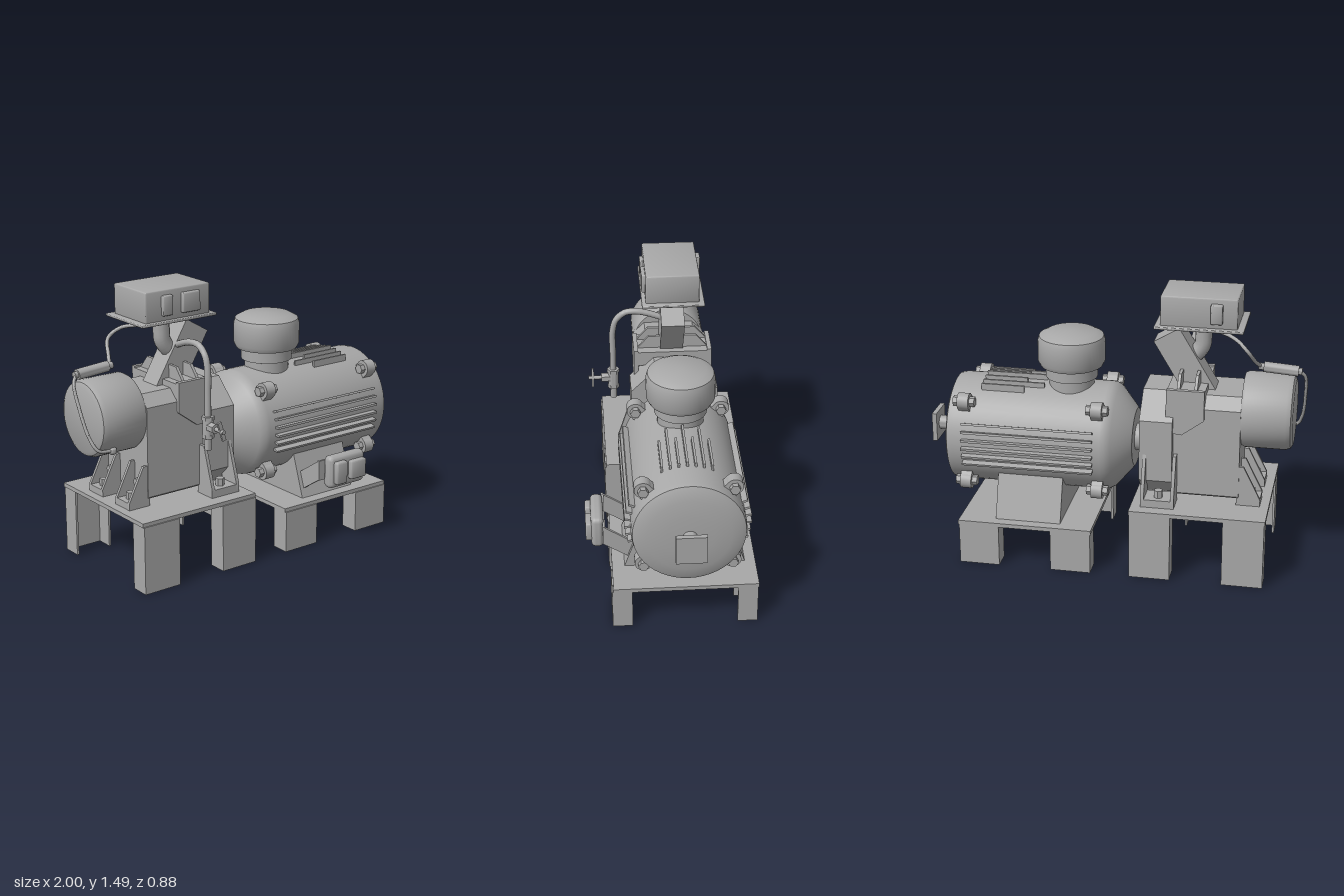
import * as THREE from 'three';
import { toCreasedNormals } from 'three/addons/utils/BufferGeometryUtils.js';
import { RoundedBoxGeometry } from 'three/addons/geometries/RoundedBoxGeometry.js';

const steel = new THREE.MeshStandardMaterial({ color: 0xa8a8a8 });
steel.name = 'machine grey';
const ZC = -0.065; // z of the shaft line
const YC = 0.648; // y of the shaft line

export function createModel() {
  const root = new THREE.Group();
  root.name = 'motorAndGearbox';

  const add = (name, geo, x = 0, y = 0, z = 0, parent = root) => {
    const m = new THREE.Mesh(toCreasedNormals(geo, 0.6), steel);
    m.name = name;
    m.position.set(x, y, z);
    parent.add(m);
    return m;
  };
  // box from min/max limits
  const box = (name, x0, x1, y0, y1, z0, z1) =>
    add(name, new THREE.BoxGeometry(x1 - x0, y1 - y0, z1 - z0), (x0 + x1) / 2, (y0 + y1) / 2, (z0 + z1) / 2);
  // cylinder along an axis, centred
  const cyl = (name, axis, r, len, x, y, z, sides = 24) => {
    const g = new THREE.CylinderGeometry(r, r, len, sides);
    if (axis === 'x') g.rotateZ(-Math.PI / 2);
    if (axis === 'z') g.rotateX(Math.PI / 2);
    return add(name, g, x, y, z);
  };
  // [radius, position] profile turned about x or y
  const lathe = (name, axis, pts, x, y, z) => {
    const g = new THREE.LatheGeometry(pts.map(p => new THREE.Vector2(...p)), 48);
    if (axis === 'x') g.rotateZ(-Math.PI / 2);
    return add(name, g, x, y, z);
  };
  const extrude = (pts, depth) => new THREE.ExtrudeGeometry(
    new THREE.Shape(pts.map(p => new THREE.Vector2(...p))), { depth, bevelEnabled: false });
  const extrudeZ = (name, pts, z0, z1) => add(name, extrude(pts, z1 - z0), 0, 0, z0);
  // [z, y] section pulled along x
  const extrudeX = (name, pts, x0, x1) =>
    add(name, extrude(pts.map(([z, y]) => [-z, y]), x1 - x0).rotateY(Math.PI / 2), x0);
  const tube = (name, pts, r, n = 40) => add(name, new THREE.TubeGeometry(
    new THREE.CatmullRomCurve3(pts.map(p => new THREE.Vector3(...p))), n, r, 12));

  // --- Stands: plate on four channel legs, open to the inside
  const stand = (x0, x1, top) => {
    box('standPlate', x0, x1, top - 0.022, top, -0.435, 0.315);
    const w = 0.215, t = 0.012, h = top - 0.02;
    for (const lx of [x0 + 0.004, x1 - w - 0.004]) {
      for (const [zo, s] of [[0.322, -1], [-0.432, 1]]) {
        const zi = zo + s * 0.104, zw = zo + s * t;
        box('legWeb', lx, lx + w, 0, h, Math.min(zo, zw), Math.max(zo, zw));
        for (const fx of [lx, lx + w - t]) box('legFlange', fx, fx + t, 0, h, Math.min(zo, zi), Math.max(zo, zi));
      }
    }
  };
  stand(0.07, 0.788, 0.247);
  stand(-0.842, -0.13, 0.383);

  // --- Motor
  lathe('motorHousing', 'x', [[0, -0.11], [0.155, -0.11], [0.175, -0.095], [0.27, -0.015], [0.288, 0.015],
    [0.29, 0.04], [0.29, 0.83], [0.284, 0.86], [0.262, 0.87], [0.21, 0.883], [0.12, 0.891], [0, 0.893]], 0, YC, ZC);
  cyl('coupling', 'x', 0.072, 0.1, -0.13, YC, ZC, 32);
  cyl('endShaft', 'x', 0.037, 0.1, 0.93, YC, ZC);
  box('endPlate', 0.975, 1, 0.568, 0.725, ZC - 0.078, ZC + 0.078);

  // cooling fins on both flanks
  for (const s of [1, -1]) {
    for (let i = 0; i < 6; i++) {
      const a = -0.33 + i * 0.145;
      const fin = add('sideFin', new THREE.BoxGeometry(0.7, 0.012, 0.07),
        0.425, YC + 0.285 * Math.sin(a), ZC + s * 0.285 * Math.cos(a));
      fin.rotation.x = -s * a;
    }
  }
  // cooling fins on top
  for (let i = 0; i < 7; i++) {
    const z = ZC + (i - 3) * 0.042;
    box('topFin', i % 2 ? 0.37 : 0.47, 0.7, 0.86, 0.966 - Math.abs(i - 3) * 0.008, z - 0.006, z + 0.006);
  }
  // clamping lugs with hex bolts at four corners of each end
  for (const x of [0.06, 0.77]) {
    for (let k = 0; k < 4; k++) {
      const a = Math.PI / 4 + k * Math.PI / 2;
      const at = r => [YC + r * Math.sin(a), ZC + r * Math.cos(a)];
      const web = add('lugWeb', new THREE.BoxGeometry(0.06, 0.085, 0.09), x, ...at(0.285));
      web.rotation.x = -a;
      cyl('lugEye', 'x', 0.044, 0.06, x, ...at(0.32));
      cyl('lugBolt', 'x', 0.027, 0.115, x, ...at(0.32), 6);
    }
  }
  // domed vent cap
  lathe('ventCap', 'y', [[0.12, 0.86], [0.12, 0.97], [0.137, 0.975], [0.137, 1.035], [0.165, 1.04], [0.178, 1.065],
    [0.178, 1.175], [0.17, 1.2], [0.13, 1.222], [0, 1.225]], 0.24, 0, ZC);
  // pedestal
  extrudeX('motorPedestal', [[0.25, 0.245], [-0.38, 0.245], [-0.3, 0.48], [0.17, 0.48]], 0.245, 0.595);

  // terminal box on two sloping arms
  for (const x of [0.268, 0.56]) {
    extrudeX('terminalArm', [[0.352, 0.485], [0.352, 0.375], [0.23, 0.295], [0.18, 0.37]], x, x + 0.014);
  }
  box('terminalBackPlate', 0.268, 0.574, 0.375, 0.485, 0.345, 0.358);
  add('terminalBox', new RoundedBoxGeometry(0.245, 0.18, 0.065, 3, 0.025), 0.422, 0.422, 0.385);
  add('terminalCover', new RoundedBoxGeometry(0.075, 0.125, 0.06, 2, 0.01), 0.36, 0.422, 0.416);
  add('terminalCover', new RoundedBoxGeometry(0.105, 0.105, 0.06, 2, 0.01), 0.477, 0.422, 0.416);

  // --- Gearbox
  const section = (w, y0, y1, cut, low) => [[-w + low, y0], [w - low, y0], [w, y0 + low], [w, y1 - cut],
    [w - cut, y1], [-w + cut, y1], [-w, y1 - cut], [-w, y0 + low]].map(([z, y]) => [z + ZC, y]);
  extrudeX('gearBody', section(0.195, 0.42, 0.968, 0.06, 0.01), -0.682, -0.335);
  extrudeX('gearHead', section(0.235, 0.405, 0.968, 0.13, 0.1), -0.335, -0.162);
  const drum = lathe('gearDrum', 'x', [[0, -0.945], [0.17, -0.945], [0.19, -0.935], [0.2, -0.91], [0.2, -0.695],
    [0.192, -0.68], [0, -0.68]], 0, 0.853, ZC);
  drum.material = steel;

  // side feet with paired gussets, front and back
  for (const s of [1, -1]) {
    const zo = ZC + s * 0.305, zi = ZC + s * 0.18;
    box('sideFoot', -0.358, -0.183, 0.383, 0.425, Math.min(zi, zo), Math.max(zi, zo));
    for (const x of [-0.358, -0.2]) {
      extrudeX('sideGusset', [[zi, 0.383], [zo, 0.383], [zo, 0.43], [ZC + s * 0.235, 0.65], [zi, 0.65]], x, x + 0.018);
    }
    cyl('footBolt', 'y', 0.024, 0.05, -0.27, 0.44, ZC + s * 0.255, 6);
    // end feet
    const ze = ZC + s * 0.125;
    box('endFoot', -0.795, -0.68, 0.383, 0.42, ze - 0.065, ze + 0.065);
    for (const dz of [-0.065, 0.049]) {
      extrudeZ('endGusset', [[-0.795, 0.383], [-0.67, 0.383], [-0.67, 0.6], [-0.705, 0.6], [-0.795, 0.42]],
        ze + dz, ze + dz + 0.016);
    }
    cyl('endBolt', 'y', 0.022, 0.045, -0.745, 0.435, ze, 6);
    cyl('endWallBolt', 'x', 0.022, 0.045, -0.69, 0.5, ze, 6);
    // saddle cheek plate and triangular ribs beside the chute
    const zc = ZC + s * 0.2;
    extrudeZ('saddleCheek', [[-0.495, 1.01], [-0.297, 1.01], [-0.297, 0.775], [-0.38, 0.765], [-0.495, 0.85]],
      zc - 0.012, zc + 0.012);
    for (const x of [-0.455, -0.365]) {
      extrudeX('saddleRib', [[ZC + s * 0.05, 0.96], [ZC + s * 0.2, 0.96], [ZC + s * 0.19, 1.0],
        [ZC + s * 0.13, 1.07], [ZC + s * 0.05, 1.07]], x, x + 0.016);
    }
  }
  box('saddle', -0.495, -0.297, 0.92, 1.0, ZC - 0.2, ZC + 0.2);

  // leaning chute
  const chute = add('chute', new THREE.BoxGeometry(0.155, 0.4, 0.125), -0.375, 1.08, -0.06);
  chute.rotation.z = -0.54;

  // --- Control box on its bent post
  tube('controlPost', [[-0.457, 1.33, -0.057], [-0.457, 1.25, -0.057], [-0.452, 1.19, -0.057],
    [-0.42, 1.14, -0.057], [-0.37, 1.11, -0.057]], 0.044);
  add('controlFlange', new RoundedBoxGeometry(0.46, 0.016, 0.335, 2, 0.006), -0.45, 1.322, -0.063);
  add('controlBox', new RoundedBoxGeometry(0.396, 0.165, 0.285, 2, 0.008), -0.448, 1.405, -0.06);
  add('controlButton', new RoundedBoxGeometry(0.062, 0.105, 0.04, 2, 0.008), -0.52, 1.408, 0.082);
  add('controlButton', new RoundedBoxGeometry(0.11, 0.105, 0.04, 2, 0.008), -0.375, 1.408, 0.082);
  add('backButton', new RoundedBoxGeometry(0.062, 0.105, 0.05, 2, 0.008), -0.54, 1.408, -0.201);

  // --- Gooseneck pipe and valve
  const px = -0.395, pz = 0.258;
  tube('gooseneck', [[px, 0.8, pz], [px, 0.95, pz], [px, 1.08, pz], [px, 1.155, 0.238], [px, 1.198, 0.19],
    [px, 1.205, 0.14], [px, 1.195, 0.08], [px, 1.16, -0.02]], 0.017, 60);
  cyl('valveBody', 'y', 0.029, 0.1, px, 0.79, pz);
  cyl('valveCollar', 'y', 0.034, 0.02, px, 0.835, pz, 6);
  cyl('valveNut', 'y', 0.032, 0.02, px, 0.738, pz, 6);
  cyl('valveOutlet', 'y', 0.018, 0.08, px, 0.705, pz);
  cyl('valveBonnet', 'z', 0.027, 0.06, px, 0.792, 0.295, 6);
  cyl('valveStem', 'z', 0.011, 0.13, px, 0.792, 0.33, 12);
  const handle = add('valveHandle', new THREE.BoxGeometry(0.022, 0.105, 0.012), px, 0.792, 0.372);
  handle.rotation.z = 0.3;

  // --- Sensor capsule with its two cables
  const sensor = cyl('sensor', 'x', 0.028, 0.18, -0.865, 1.092, -0.08);
  sensor.rotation.z = 0.07;
  const tip = cyl('sensorTip', 'x', 0.018, 0.225, -0.86, 1.092, -0.08);
  tip.rotation.z = 0.07;
  tube('upperCable', [[-0.76, 1.098, -0.08], [-0.735, 1.14, -0.13], [-0.7, 1.21, -0.185], [-0.64, 1.26, -0.16],
    [-0.56, 1.275, -0.1], [-0.47, 1.28, -0.06]], 0.01);
  cyl('cableGland', 'x', 0.017, 0.03, -0.508, 1.28, -0.065, 12);
  tube('lowerCable', [[-0.96, 1.085, -0.08], [-0.988, 1.05, -0.06], [-0.99, 0.93, -0.01], [-0.975, 0.79, 0.05],
    [-0.945, 0.725, 0.085], [-0.865, 0.71, 0.085]], 0.009);
  add('cableKnob', new THREE.SphereGeometry(0.023, 16, 12), -0.86, 0.71, 0.08);

  return root;
}
